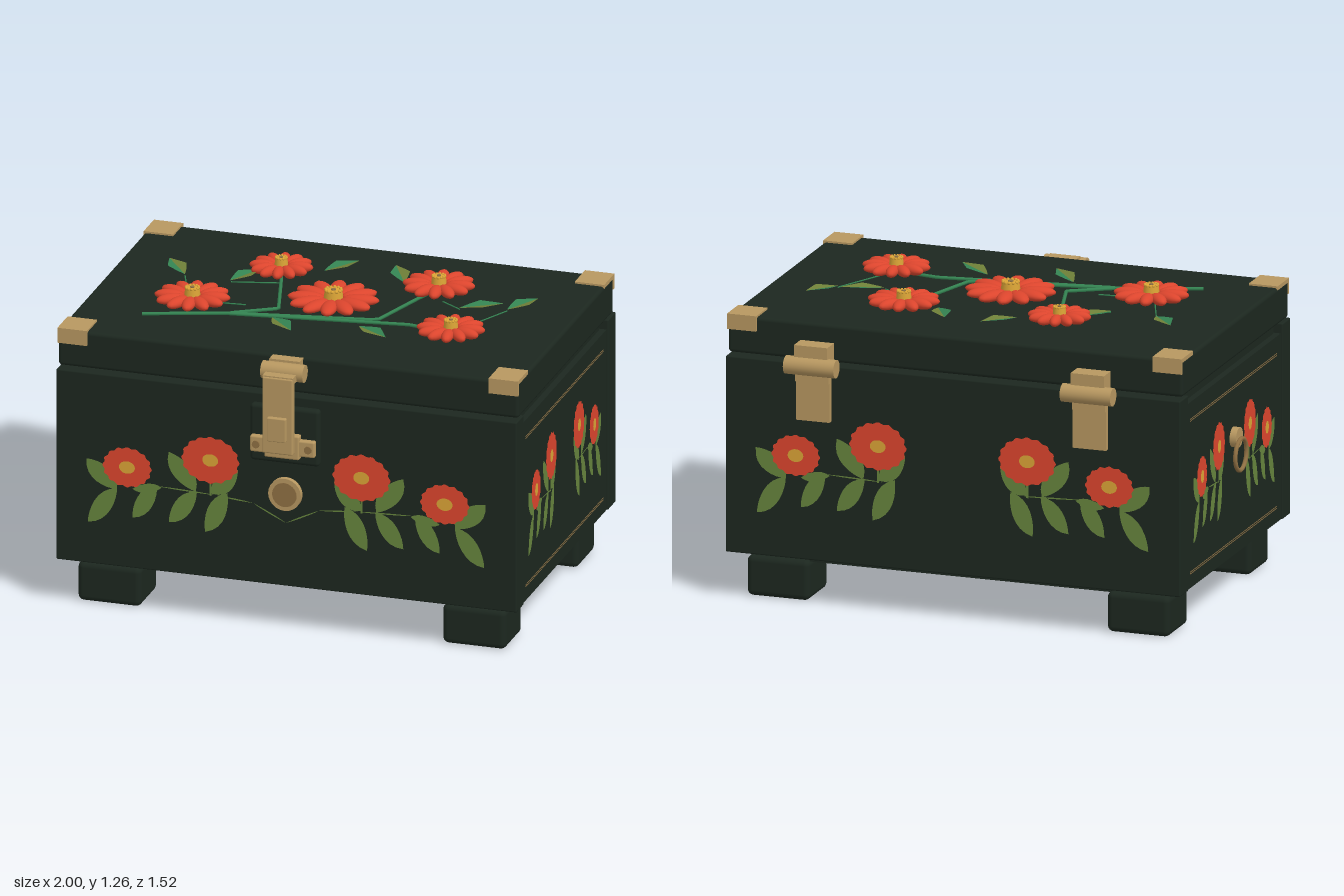
import * as THREE from 'three';
import { RoundedBoxGeometry } from 'three/addons/geometries/RoundedBoxGeometry.js';

const mat = (name, color, side = THREE.FrontSide) =>
  Object.assign(new THREE.MeshStandardMaterial({ color, side }), { name });

export function createModel() {
  const wood = mat('dark green wood', 0x1c271f);
  const brass = mat('brass', 0xb79760);
  const darkBrass = mat('dark brass', 0x8f7043);
  const red = mat('petal red', 0xdc452d);
  const gold = mat('flower gold', 0xdba436);
  const paintGreen = mat('painted leaf green', 0x66843d, THREE.DoubleSide);
  const stemGreen = mat('stem green', 0x348452, THREE.DoubleSide);
  const olive = mat('leaf olive', 0x6f8038, THREE.DoubleSide);

  const model = new THREE.Group();
  model.name = 'paintedChest';
  const CX = 0.016; // chest centre line

  const add = (name, geo, m, x = 0, y = 0, z = 0, parent = model) => {
    const mesh = new THREE.Mesh(geo, m);
    mesh.name = name;
    mesh.position.set(x, y, z);
    parent.add(mesh);
    return mesh;
  };
  // box given by its limits, with an optional edge radius
  const box = (name, m, x0, x1, y0, y1, z0, z1, r = 0) => {
    const s = [x1 - x0, y1 - y0, z1 - z0];
    const geo = r ? new RoundedBoxGeometry(...s, 3, r) : new THREE.BoxGeometry(...s);
    return add(name, geo, m, (x0 + x1) / 2, (y0 + y1) / 2, (z0 + z1) / 2);
  };

  // Chest body: front and back boards, side walls just inside their ends, inner lining
  box('frontBoard', wood, -0.965, 0.998, 0.195, 1.022, 0.535, 0.63, 0.006);
  box('backBoard', wood, -0.965, 0.998, 0.195, 1.022, -0.68, -0.58, 0.006);
  box('sideWalls', wood, -0.957, 0.99, 0.195, 0.98, -0.6, 0.55);
  box('innerLining', wood, -0.93, 0.963, 0.9, 1.022, -0.565, 0.525);
  box('basePlinth', wood, -0.885, 0.917, 0.16, 0.2, -0.585, 0.535);
  for (const x of [-0.895, 0.66])
    for (const [z0, z1] of [[0.345, 0.57], [-0.62, -0.39]])
      box('foot', wood, x, x + 0.27, 0, 0.17, z0, z1, 0.025);

  // Lid with brass corner caps
  box('lid', wood, -0.965, 0.998, 1.03, 1.187, -0.65, 0.605, 0.015);
  for (const x of [-0.965, 0.873])
    for (const s of [1, -1]) {
      const edge = s > 0 ? 0.612 : -0.66;
      const inner = edge - s * 0.135;
      box('cornerCapTop', brass, x, x + 0.125, 1.178, 1.195, Math.min(edge, inner), Math.max(edge, inner));
      box('cornerCapFlange', brass, x, x + 0.125, 1.13, 1.195, edge - 0.006 - 0.006 * s, edge + 0.006 - 0.006 * s);
    }

  // Hairline inlays on the side walls
  for (const x of [-0.957, 0.99])
    for (const y of [0.255, 0.263, 0.9, 0.908])
      box('sideInlay', darkBrass, x - 0.001, x + 0.001, y - 0.0015, y + 0.0015, -0.54, 0.49);

  // Cylinders lying along x or z
  const rod = (name, m, axis, r, len, x, y, z) => {
    const geo = new THREE.CylinderGeometry(r, r, len, 24);
    if (axis === 'x') geo.rotateZ(Math.PI / 2); else geo.rotateX(Math.PI / 2);
    return add(name, geo, m, x, y, z);
  };

  // Front clasp and button
  box('claspBackplate', wood, -0.13, 0.165, 0.738, 0.983, 0.62, 0.66, 0.015);
  box('claspBase', brass, -0.122, 0.154, 0.785, 0.855, 0.655, 0.685, 0.008);
  box('claspCatch', brass, -0.06, 0.09, 0.77, 0.875, 0.655, 0.69, 0.008);
  for (const x of [-0.095, 0.127]) rod('claspScrew', darkBrass, 'z', 0.016, 0.012, x, 0.82, 0.686);
  rod('claspBarrel', brass, 'x', 0.037, 0.18, CX, 1.14, 0.66);
  box('claspLidBracket', brass, -0.05, 0.08, 1.11, 1.185, 0.6, 0.65);
  box('claspArm', brass, -0.05, 0.08, 1.115, 1.145, 0.66, 0.74);
  box('claspStrap', brass, -0.05, 0.08, 0.81, 1.14, 0.712, 0.745, 0.006);
  box('claspLatch', brass, -0.024, 0.056, 0.87, 0.972, 0.74, 0.765, 0.004);
  rod('buttonRim', brass, 'z', 0.07, 0.025, CX, 0.6, 0.64);
  rod('buttonFace', darkBrass, 'z', 0.052, 0.004, CX, 0.6, 0.654);

  // Back hinges
  for (const x of [-0.583, 0.612]) {
    rod('hingeBarrel', brass, 'x', 0.038, 0.218, x, 1.025, -0.722);
    box('hingeBlock', brass, x - 0.072, x + 0.072, 1.03, 1.112, -0.73, -0.64);
    box('hingeKnuckle', brass, x - 0.072, x + 0.072, 0.955, 1.02, -0.715, -0.675);
    box('hingeLeaf', brass, x - 0.072, x + 0.072, 0.79, 0.97, -0.705, -0.675);
  }

  // Ring pull on the side wall
  rod('ringStud', brass, 'x', 0.042, 0.03, -0.97, 0.697, -0.03);
  const ring = add('ringPull', new THREE.TorusGeometry(0.066, 0.009, 10, 32), darkBrass, -0.991, 0.626, -0.03);
  ring.rotation.y = Math.PI / 2;

  // Painted flower borders: flat shapes lifted slightly off each wall
  const paintLeaves = [ // base x, y, tip x, y, half width
    [-0.72, 0.53, -0.85, 0.65, 0.042], [-0.72, 0.535, -0.845, 0.375, 0.038],
    [-0.55, 0.565, -0.655, 0.415, 0.036], [-0.53, 0.56, -0.655, 0.54, 0.02],
    [-0.385, 0.56, -0.5, 0.72, 0.042], [-0.38, 0.56, -0.5, 0.415, 0.038],
    [-0.25, 0.57, -0.345, 0.39, 0.04], [-0.32, 0.56, -0.205, 0.675, 0.042],
  ];
  const paintFlowers = [[-0.677, 0.632, 0.105, 0.087], [-0.322, 0.705, 0.124, 0.102]];
  // pointed leaf with a slight S-bend
  const leafShape = (x0, y0, x1, y1, w, k) => {
    const d = new THREE.Vector2(x1 - x0, y1 - y0);
    const n = new THREE.Vector2(-d.y, d.x).normalize().multiplyScalar(w * 1.33);
    const p = (t, s) => [k * (x0 + d.x * t + n.x * s), y0 + d.y * t + n.y * s];
    const shape = new THREE.Shape();
    shape.moveTo(...p(0, 0));
    shape.bezierCurveTo(...p(0.2, 0.6), ...p(0.7, 1.35), ...p(1, 0));
    shape.bezierCurveTo(...p(0.8, -0.6), ...p(0.3, -1.35), ...p(0, 0));
    return new THREE.ShapeGeometry(shape, 8);
  };
  const scallop = (rx, ry) => new THREE.ShapeGeometry(new THREE.Shape(
    Array.from({ length: 96 }, (_, i) => {
      const a = (i / 96) * Math.PI * 2, f = 0.97 + 0.035 * Math.cos(a * 16);
      return new THREE.Vector2(rx * f * Math.cos(a), ry * f * Math.sin(a));
    })));
  const border = (name, x, z, turn, k, joined) => {
    const g = new THREE.Group();
    g.name = name;
    g.position.set(x, 0, z);
    g.rotation.y = turn;
    model.add(g);
    const stemPts = [[-0.74, 0.55], [-0.55, 0.565], [-0.3, 0.555], [-0.14, 0.54], [0, 0.47]];
    for (const s of [1, -1]) {
      const f = k * s;
      for (const l of paintLeaves) add('paintedLeaf', leafShape(...l, f), paintGreen, 0, 0, 0.002, g);
      for (let i = 0; i < (joined ? 4 : 2); i++) {
        const [a, b] = [stemPts[i], stemPts[i + 1]];
        add('paintedStem', leafShape(...a, ...b, 0.003, f), paintGreen, 0, 0, 0.002, g);
      }
      for (const [fx, fy, rx, ry] of paintFlowers) {
        add('paintedStalk', new THREE.PlaneGeometry(0.01 * k, fy - 0.55), paintGreen, f * fx, (fy + 0.55) / 2, 0.002, g);
        add('paintedBloom', scallop(rx * k, ry), red, f * fx, fy, 0.004, g);
        const eye = add('paintedEye', new THREE.CircleGeometry(1, 24), gold, f * fx, fy, 0.006, g);
        eye.scale.set(0.034 * k, 0.027, 1);
      }
    }
  };
  border('frontFlowers', CX, 0.63, 0, 1, true);
  border('backFlowers', CX, -0.68, Math.PI, 1, false);
  border('leftFlowers', 0.99, -0.024, Math.PI / 2, 0.565, false);
  border('rightFlowers', -0.957, -0.024, -Math.PI / 2, 0.565, false);

  // Raised daisies on the lid
  const petalGeo = new THREE.SphereGeometry(1, 14, 10);
  const beadGeo = new THREE.SphereGeometry(1, 8, 6);
  for (const [x, z, r] of [[0.013, -0.003, 0.187], [-0.3, -0.283, 0.13], [0.372, -0.283, 0.148],
    [-0.54, 0.147, 0.155], [0.57, 0.172, 0.14]]) {
    const daisy = new THREE.Group();
    daisy.name = 'daisy';
    daisy.position.set(x, 1.213, z);
    model.add(daisy);
    for (let i = 0; i < 12; i++) {
      const a = (i / 12) * Math.PI * 2 + 0.15;
      const petal = add('petal', petalGeo, red, Math.cos(a) * r * 0.6, 0, -Math.sin(a) * r * 0.6, daisy);
      petal.scale.set(r * 0.41, 0.022, r * 0.18);
      petal.rotation.y = a;
      const bead = add('seed', beadGeo, gold, Math.cos(a) * r * 0.17, 0.037, -Math.sin(a) * r * 0.17, daisy);
      bead.scale.setScalar(r * 0.04);
    }
    add('daisyEye', new THREE.CylinderGeometry(r * 0.19, r * 0.22, 0.045, 20), gold, 0, 0.015, 0, daisy);
    add('daisyHeart', new THREE.CylinderGeometry(r * 0.06, r * 0.06, 0.004, 12), darkBrass, 0, 0.039, 0, daisy);
  }

  // Folded two-tone leaves on the lid: base x, z, tip x, z
  for (const [x0, z0, x1, z1] of [[-0.13, -0.32, -0.02, -0.455], [0.22, -0.295, 0.135, -0.45],
    [-0.655, -0.11, -0.765, -0.245], [-0.46, -0.1, -0.375, -0.24], [0.52, -0.095, 0.685, -0.175],
    [0.71, -0.135, 0.8, -0.275], [-0.17, 0.24, -0.045, 0.38], [0.195, 0.225, 0.345, 0.335]]) {
    const leaf = new THREE.Group();
    const len = Math.hypot(x1 - x0, z1 - z0);
    leaf.name = 'lidLeaf';
    leaf.position.set(x0, 1.198, z0);
    leaf.rotation.set(0, Math.atan2(z0 - z1, x1 - x0), 0.05);
    model.add(leaf);
    for (const s of [1, -1]) {
      const half = new THREE.Shape();
      half.moveTo(0, 0);
      half.quadraticCurveTo(len * 0.25, s * 0.027, len * 0.5, s * 0.042);
      half.quadraticCurveTo(len * 0.75, s * 0.022, len, 0);
      const m = add('leafHalf', new THREE.ShapeGeometry(half, 6), s > 0 ? stemGreen : olive, 0, 0, 0, leaf);
      m.rotation.x = -Math.PI / 2 + s * 0.2;
    }
  }

  // Stems on the lid
  for (const pts of [
    [[-0.69, 0.35], [-0.35, 0.235], [0.24, 0.125], [0.325, -0.16], [0.37, -0.285]],
    [[-0.35, 0.23], [-0.18, 0.125], [-0.26, -0.155], [-0.3, -0.285]],
    [[-0.35, 0.24], [0.38, 0.135], [0.57, 0.17]],
    [[-0.54, 0.145], [-0.32, 0.125]], [[-0.655, -0.11], [-0.56, 0.13]],
    [[-0.455, -0.1], [-0.26, -0.15]], [[0.43, -0.155], [0.52, -0.095]], [[0.6, 0.1], [0.71, -0.135]],
  ]) {
    const radius = pts.length > 2 ? 0.008 : 0.003;
    const path = new THREE.CurvePath();
    for (let i = 1; i < pts.length; i++)
      path.add(new THREE.LineCurve3(...[pts[i - 1], pts[i]].map(([x, z]) => new THREE.Vector3(x, 1.192, z))));
    add('lidStem', new THREE.TubeGeometry(path, 40, radius, 6), stemGreen);
  }
  return model;
}
